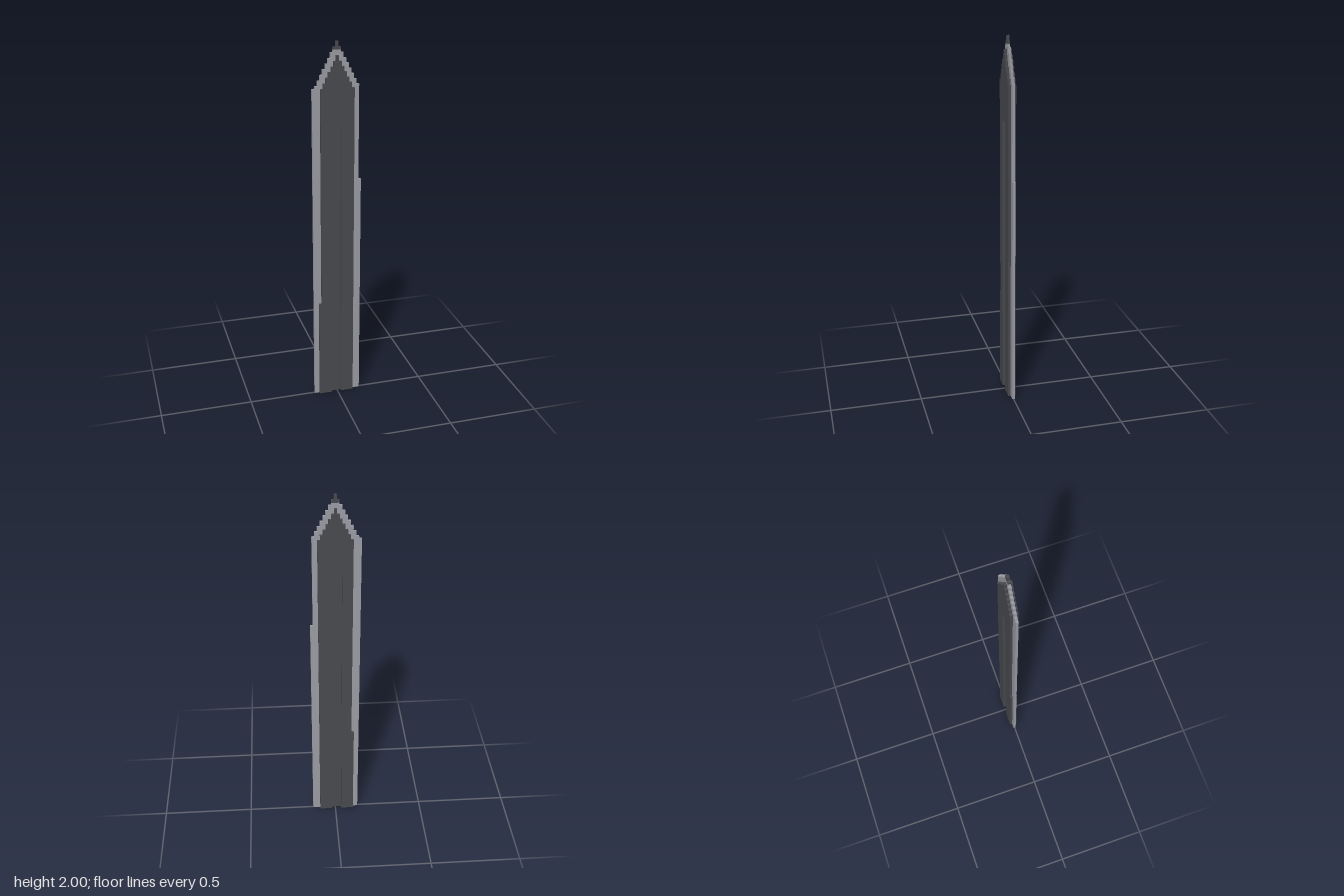
import * as THREE from 'three';

const V = 2 / 145; // one cell of the stepped grid

// Extrude one layer, one cell thick, from columns first..last (0 = centre),
// each running from bottom(c) to top(c) in cells.
function layer(first, last, bottom, top, z) {
  const pts = [];
  for (let c = first; c <= last; c++) {
    pts.push([c - 0.5, bottom(c)], [c + 0.5, bottom(c)]);
  }
  for (let c = last; c >= first; c--) {
    pts.push([c + 0.5, top(c)], [c - 0.5, top(c)]);
  }
  // drop repeated and collinear points
  const clean = pts.filter((p, i) => {
    const a = pts[(i + pts.length - 1) % pts.length];
    const b = pts[(i + 1) % pts.length];
    const same = p[0] === a[0] && p[1] === a[1];
    const flat = a[1] === p[1] && p[1] === b[1];
    const upright = a[0] === p[0] && p[0] === b[0];
    return !same && !flat && !upright;
  });
  const shape = new THREE.Shape(clean.map(([x, y]) => new THREE.Vector2(x * V, y * V)));
  const geo = new THREE.ExtrudeGeometry(shape, { depth: V, bevelEnabled: false });
  geo.translate(0, 0, (z - 0.5) * V);
  return geo;
}

export function createModel() {
  const steel = new THREE.MeshStandardMaterial({ color: 0x9d9da6 });
  steel.name = 'light steel';
  const iron = new THREE.MeshStandardMaterial({ color: 0x4a4b50 });
  iron.name = 'dark iron';

  const group = new THREE.Group();
  group.name = 'blade';
  const add = (name, geo, mat) => {
    const mesh = new THREE.Mesh(geo, mat);
    mesh.name = name;
    group.add(mesh);
  };

  // the groove occupies four columns up to cell 113
  const grooveTop = 113;
  const aboveGroove = (c) => (c >= -2 && c <= 1 ? grooveTop : 0);

  // light cutting edge: stepped point, one chipped column on the left side
  const edgeTop = (c) => {
    if (c === 9) return 92;
    if (c === -9) return 128;
    return Math.min(142, 145 - 2 * Math.abs(c));
  };
  add('cuttingEdge', layer(-9, 9, aboveGroove, edgeTop, 0), steel);

  // dark floor of the groove
  add('grooveFloor', layer(-2, 1, () => 0, () => grooveTop, 0), iron);

  // dark tip
  add('tip', layer(-1, 1, () => 142, (c) => 145 - 2 * Math.abs(c), 0), iron);

  // dark raised plates, front and back, cut open along the groove
  const plateTop = (c) => (c === -7 ? 41 : 140 - 2 * Math.abs(c));
  for (const [name, z] of [['frontPlate', 1], ['backPlate', -1]]) {
    add(name, layer(-7, 6, aboveGroove, plateTop, z), iron);
  }
  return group;
}
